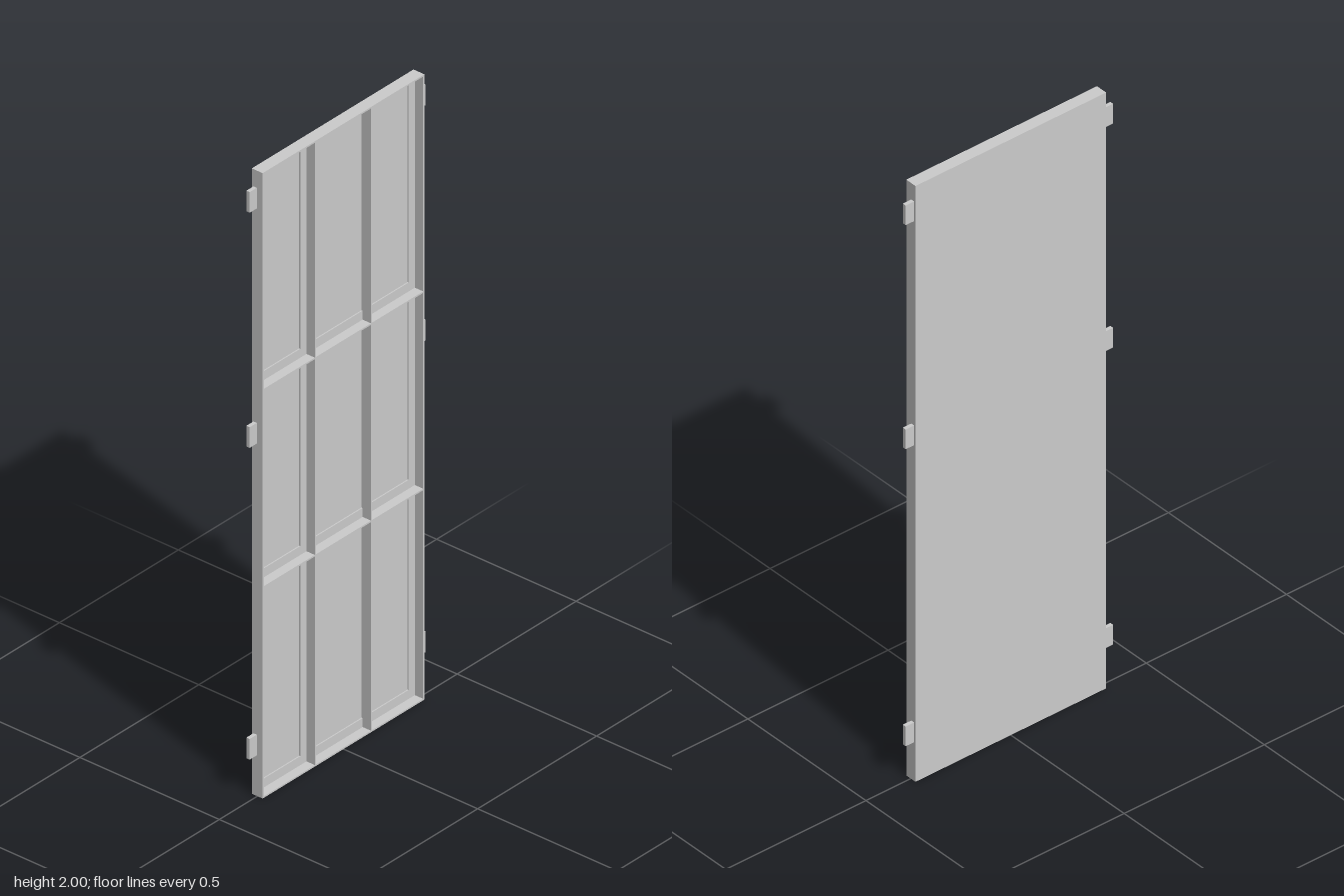
import * as THREE from 'three';

export function createModel() {
  const model = new THREE.Group();
  const material = new THREE.MeshStandardMaterial({ color: 0xcccccc, flatShading: true });

  // Box given by its limits on each axis
  function box(name, x0, x1, y0, y1, z0, z1) {
    const mesh = new THREE.Mesh(new THREE.BoxGeometry(x1 - x0, y1 - y0, z1 - z0), material);
    mesh.name = name;
    mesh.position.set((x0 + x1) / 2, (y0 + y1) / 2, (z0 + z1) / 2);
    model.add(mesh);
  }

  const W = 0.34, H = 2, back = -0.02, front = 0.019;
  const t = 0.005;            // sheet thickness
  const floor = back + t;     // face of the back sheet
  const lip = 0.031;          // width of the flat flanges

  // Back sheet and surrounding walls
  box('backSheet', -W, W, 0, H, back, floor);
  for (const s of [-1, 1]) {
    const x = s * (W - t / 2);
    box('sideWall', x - t / 2, x + t / 2, 0, H, floor, front);
  }
  box('bottomWall', -W + t, W - t, 0, t, floor, front);
  box('topWall', -W + t, W - t, H - t, H, floor, front);

  // Upright and cross stiffeners
  const ribX = 0.118, rows = [0, 0.672, 1.303];
  for (const s of [-1, 1]) {
    box('uprightRib', s * ribX - t / 2, s * ribX + t / 2, t, H - t, floor, front);
  }
  const columns = [[-W + t, -ribX - t / 2], [-ribX + t / 2, ribX - t / 2], [ribX + t / 2, W - t]];
  for (const [x0, x1] of columns) {
    for (const y of rows.slice(1)) box('crossRib', x0, x1, y, y + t, floor, front);
  }

  // Flat flanges of the angle sections, lying on the back sheet
  const lipFront = floor + 0.004;
  columns.forEach(([x0, x1], c) => {
    for (const y of rows) box('crossFlange', x0, x1, y + t, y + lip + t / 2, floor, lipFront);
    box('topFlange', x0, x1, H - lip, H - t, floor, lipFront);
    if (c === 1) return;
    rows.forEach((y, r) => {
      const y0 = y + lip + t / 2, y1 = r < 2 ? rows[r + 1] : H - lip;
      box('sideFlange', x0, x0 + lip - t, y0, y1, floor, lipFront);
      box('sideFlange', x1 - lip + t, x1, y0, y1, floor, lipFront);
    });
  });

  // Mounting tabs on both sides
  for (const y of [0.163, 1.16, 1.912]) {
    box('leftTab', W, 0.37, y - 0.033, y + 0.033, -0.014, -0.002);
    box('rightTab', -0.37, -W, y - 0.033, y + 0.033, -0.014, -0.002);
  }
  return model;
}
